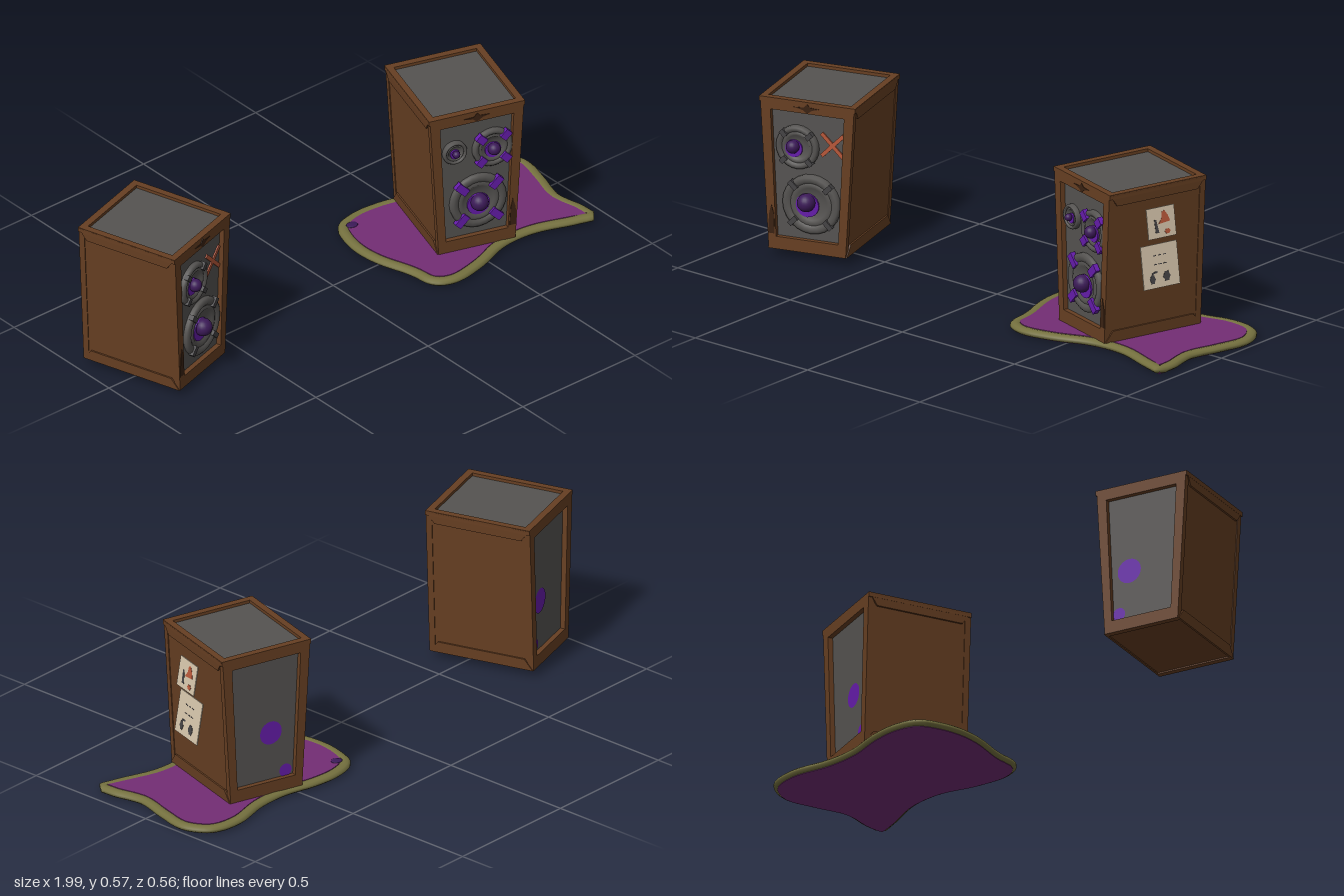
import * as THREE from 'three';

const mat = (name, color, side = THREE.FrontSide) => {
  const m = new THREE.MeshStandardMaterial({ color, side });
  m.name = name;
  return m;
};
const M = {
  wood: mat('brown wood', 0x673f22),
  darkWood: mat('cracked wood', 0x3a2212),
  grey: mat('grey panel', 0x555351),
  dark: mat('dark grey', 0x454345),
  violet: mat('violet slime', 0x651caa),
  deep: mat('deep purple', 0x3c1a58),
  goo: mat('puddle purple', 0x732d74),
  green: mat('olive rim', 0x75713f),
  orange: mat('orange paint', 0xb8583a),
  paper: mat('poster paper', 0xd6c5ab),
};

const H0 = 0.025, H1 = 0.57, TOP = 0.355, BOTTOM = 0.29, DEPTH = 0.39;

const add = (parent, name, geo, material, x = 0, y = 0, z = 0) => {
  const m = new THREE.Mesh(geo, material);
  m.name = name;
  m.position.set(x, y, z);
  parent.add(m);
  return m;
};

const poly = pts => new THREE.Shape(pts.map(p => new THREE.Vector2(...p)));
const extrude = (shape, depth) =>
  new THREE.ExtrudeGeometry(shape, { depth, bevelEnabled: false });

// narrows a cabinet part towards the floor
const halfScale = y => THREE.MathUtils.mapLinear(y, H0, H1, BOTTOM / TOP, 1);
function taper(geo) {
  const p = geo.attributes.position;
  for (let i = 0; i < p.count; i++) p.setX(i, p.getX(i) * halfScale(p.getY(i)));
  geo.computeVertexNormals();
  return geo;
}
const box = (w, h, d, x = 0, y = 0, z = 0) => new THREE.BoxGeometry(w, h, d).translate(x, y, z);

// rectangle with a rectangular opening
function frameShape(x, y0, y1, ix, iy0, iy1) {
  const s = poly([[-x, y0], [x, y0], [x, y1], [-x, y1]]);
  s.holes.push(poly([[-ix, iy0], [-ix, iy1], [ix, iy1], [ix, iy0]]));
  return s;
}

function cabinet(g) {
  add(g, 'cabinetCore', taper(box(0.342, 0.525, 0.35, 0, 0.2925)), M.wood);
  for (const s of [1, -1]) {
    const face = s > 0 ? 'front' : 'back';
    add(g, face + 'Panel', taper(box(0.3, 0.49, 0.004, 0, 0.3, s * 0.175)), M.grey);
    const frame = extrude(frameShape(0.174, H0, H1 - 0.004, 0.138, 0.07, 0.528), 0.022);
    add(g, face + 'Frame', taper(frame.translate(0, 0, s > 0 ? 0.173 : -0.195)), M.wood);
    // mitred bars along the top and bottom of each side
    for (const [a, b] of [[H1 - 0.002, 0.525], [H0, 0.065]]) {
      const bar = extrude(poly([[-0.193, a], [0.193, a], [0.162, b], [-0.162, b]]), 0.009);
      bar.rotateY(s * Math.PI / 2).translate(s * 0.169, 0, 0);
      add(g, 'sideBar', taper(bar), M.wood);
    }
  }
  add(g, 'topPanel', box(0.33, 0.006, 0.36, 0, 0.556), M.grey);
  const rim = extrude(frameShape(TOP / 2, -DEPTH / 2, DEPTH / 2, 0.153, -0.17, 0.17), 0.017);
  add(g, 'topFrame', rim.rotateX(-Math.PI / 2).translate(0, 0.553, 0), M.wood);
}

// round loudspeaker with a glossy eye-like dome
function driver(g, x, y, r, { clamps = M.dark, eye = [0, 0] } = {}) {
  const d = new THREE.Group();
  d.name = 'driver';
  d.position.set(x, y, 0.177);
  g.add(d);
  const lathe = pts => new THREE.LatheGeometry(
    pts.map(([a, b]) => new THREE.Vector2(a * r, b)), 24).rotateX(Math.PI / 2);
  add(d, 'surround', lathe([[1, 0], [1, 0.012], [0.92, 0.018], [0.8, 0.018], [0.72, 0.012]]), M.grey);
  add(d, 'cone', lathe([[0.72, 0.012], [0.62, 0.016], [0.55, 0.01], [0.3, 0.003], [0, 0.003]]), M.grey);
  for (let i = 0; i < 4 && r > 0.05; i++) {
    const a = Math.PI / 4 + i * Math.PI / 2, slime = clamps === M.violet;
    const c = add(d, slime ? 'slimeArm' : 'clamp',
      new THREE.BoxGeometry(r * (slime ? 0.48 : 0.34), slime ? 0.028 : 0.018, 0.018), clamps,
      Math.cos(a) * r * 0.86, Math.sin(a) * r * 0.86, 0.015);
    c.rotation.z = a;
  }
  const [ex, ey] = eye;
  add(d, 'slimePool', new THREE.CylinderGeometry(r * 0.4, r * 0.4, 0.006, 20).rotateX(Math.PI / 2),
    M.violet, ex, ey - r * 0.12, 0.01);
  add(d, 'dome', new THREE.SphereGeometry(r * 0.3, 20, 14), M.deep, ex, ey, 0.022);
}

function backSpot(g, x, y, r) {
  const s = add(g, 'backSlimeSpot', new THREE.CircleGeometry(r, 28), M.violet, x, y, -0.179);
  s.rotation.y = Math.PI;
}

function cracks(g, side) {
  const z = 0.194;
  add(g, 'topCrack', extrude(poly([[-0.05, 0.548], [-0.015, 0.541], [0, 0.53], [0.02, 0.543],
    [0.045, 0.55], [0.012, 0.552], [0, 0.563], [-0.012, 0.55]]), 0.003), M.darkWood, 0, 0, z);
  add(g, 'cornerCrack', extrude(poly([[-0.012, -0.05], [0.012, -0.05], [0.01, 0.02], [0, 0.055],
    [-0.008, 0.02]]), 0.003), M.darkWood, side * 0.132, 0.13, z);
}

// paper sheet peeling away from the side, drawn facing +z and turned to +x
function poster(g, x, y, w, h, draw) {
  const p = new THREE.Group();
  p.name = 'poster';
  p.position.set(x, y, 0);
  p.rotation.set(0, Math.PI / 2, 0.16, 'ZYX');
  g.add(p);
  add(p, 'sheet', new THREE.BoxGeometry(w, h, 0.004), M.paper);
  draw((name, pts, m) => add(p, name, extrude(poly(pts), 0.001), m, 0, 0, 0.002));
}
const rect = (x, y, w, h) => [[x - w / 2, y - h / 2], [x + w / 2, y - h / 2], [x + w / 2, y + h / 2], [x - w / 2, y + h / 2]];
const blob = (x, y, rx, ry) => Array.from({ length: 12 }, (_, i) => {
  const a = i * Math.PI / 6, k = i % 2 ? 0.8 : 1;
  return [x + Math.cos(a) * rx * k, y + Math.sin(a) * ry * k];
});

function posters(g) {
  poster(g, 0.196, 0.443, 0.112, 0.107, mark => {
    mark('splash', [[-0.012, -0.005], [0.035, 0], [0.027, 0.022], [0.015, 0.04], [0.004, 0.035], [0.002, 0.015]], M.orange);
    mark('smallSplash', blob(0.022, -0.034, 0.012, 0.01), M.orange);
    mark('stick', [[-0.028, 0.012], [-0.02, 0.012], [-0.012, -0.035], [-0.026, -0.035]], M.dark);
  });
  poster(g, 0.19, 0.285, 0.146, 0.152, mark => {
    for (const y of [0.037, 0.006]) for (const x of [-0.02, 0, 0.02]) mark('smudge', rect(x, y, 0.012, 0.003), M.dark);
    mark('leftCup', blob(-0.035, -0.044, 0.012, 0.018), M.dark);
    mark('rightCup', blob(0.022, -0.04, 0.015, 0.02), M.dark);
    mark('band', [[-0.042, -0.038], [-0.034, -0.02], [-0.015, -0.017], [-0.015, -0.023], [-0.03, -0.026]], M.dark);
  });
}

function puddle(g) {
  const outline = [[.2, -.19], [.235, -.255], [.32, -.285], [.43, -.28], [.56, -.25], [.68, -.25],
    [.83, -.28], [.94, -.255], [.995, -.16], [.97, -.03], [.94, .08], [.96, .2], [.95, .27], [.885, .26],
    [.72, .205], [.59, .205], [.46, .25], [.32, .27], [.25, .23], [.23, .13], [.19, 0], [.182, -.1]];
  const curve = new THREE.CatmullRomCurve3(outline.map(([x, z]) => new THREE.Vector3(x, 0, z)), true);
  const inset = (d, n) => Array.from({ length: n }, (_, i) => {
    const p = curve.getPointAt(i / n), t = curve.getTangentAt(i / n);
    return new THREE.Vector3(p.x - t.z * d, 0, p.z + t.x * d);
  });
  const plate = (d, y, h) => extrude(poly(inset(d, 80).map(p => [p.x, -p.z])), h)
    .rotateX(-Math.PI / 2).translate(0, y, 0);
  const rim = new THREE.TubeGeometry(new THREE.CatmullRomCurve3(inset(0.021, 50), true), 140, 0.021, 10, true);
  add(g, 'puddleRim', rim.scale(1, 0.62, 1).translate(0, 0.0135, 0), M.green);
  add(g, 'puddleTop', plate(0.035, 0.014, 0.011), M.goo);
  add(g, 'puddleUnderside', plate(0.014, 0, 0.008), M.goo);
  add(g, 'puddleBubble', new THREE.SphereGeometry(0.022, 16, 10).scale(1, 0.2, 0.8), M.deep, 0.27, 0.025, -0.22);
}

function speaker(parent, name, x, angle) {
  const g = new THREE.Group();
  g.name = name;
  g.position.set(x, 0, -0.03);
  g.rotation.y = angle;
  parent.add(g);
  cabinet(g);
  return g;
}

export function createModel() {
  const model = new THREE.Group();
  model.name = 'slimySpeakers';

  // speaker with the crossed-out driver
  const a = speaker(model, 'rightSpeaker', -0.772, 0.3);
  driver(a, -0.04, 0.4, 0.078, { eye: [-0.012, 0.004] });
  driver(a, 0.012, 0.2, 0.106, { eye: [-0.014, 0.008] });
  for (const s of [1, -1]) {
    add(a, 'paintedCross', new THREE.BoxGeometry(0.115, 0.014, 0.006), M.orange, 0.088, 0.42, 0.179)
      .rotation.z = s * Math.PI / 4;
  }
  cracks(a, -1);
  backSpot(a, 0.055, 0.25, 0.045);
  backSpot(a, 0.095, 0.095, 0.024);

  // speaker standing in the puddle
  const b = speaker(model, 'leftSpeaker', 0.567, -0.3);
  driver(b, 0.062, 0.405, 0.074, { clamps: M.violet });
  driver(b, -0.078, 0.416, 0.044);
  driver(b, 0.008, 0.203, 0.104, { clamps: M.violet });
  cracks(b, 1);
  posters(b);
  backSpot(b, -0.027, 0.245, 0.043);
  backSpot(b, -0.085, 0.09, 0.024);

  puddle(model);
  return model;
}
